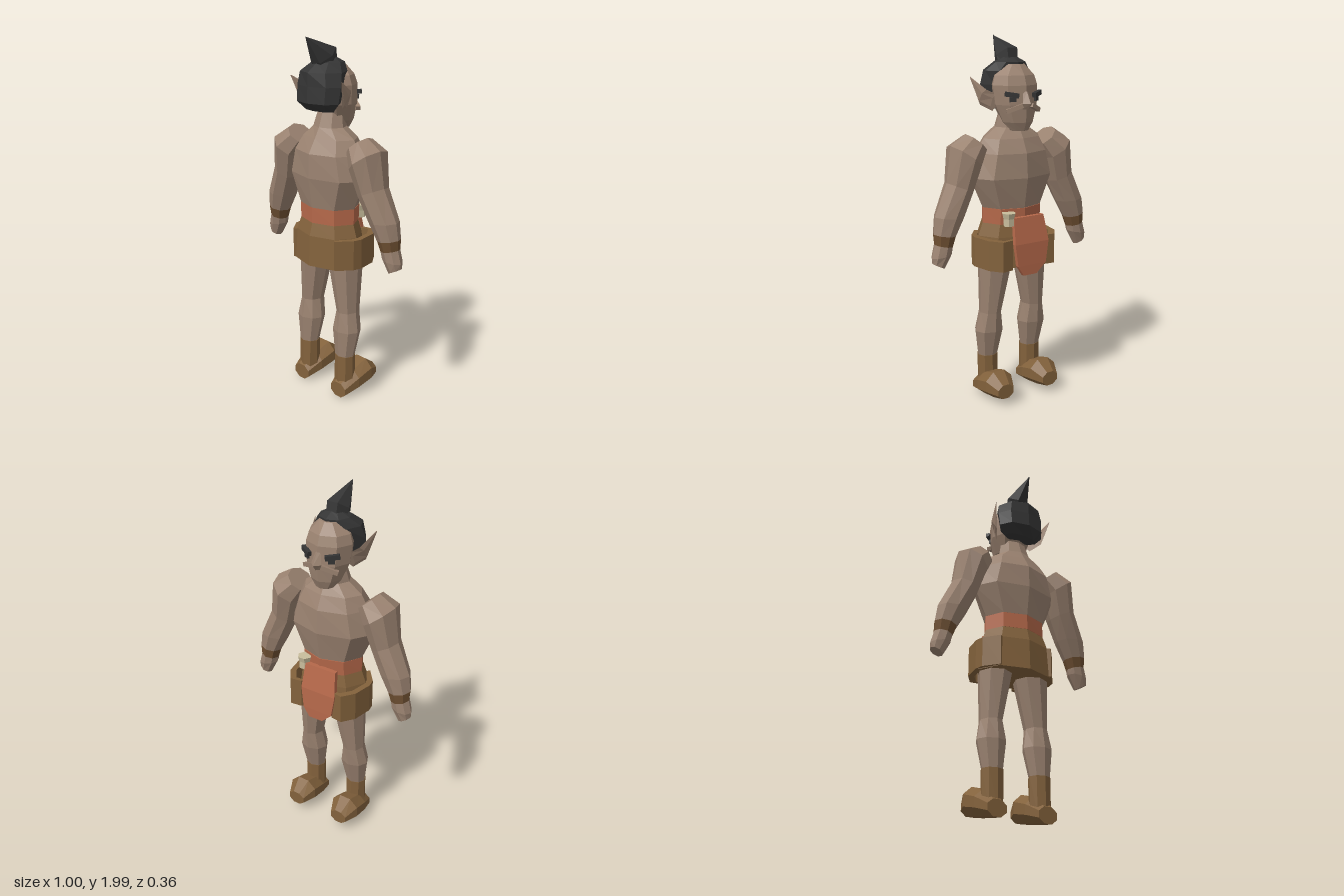
import * as THREE from 'three';

const V = (x, y, z) => new THREE.Vector3(x, y, z);
const mat = (name, color) => {
  const m = new THREE.MeshStandardMaterial({ color, flatShading: true });
  m.name = name;
  return m;
};

// Polygonal ring around centre c, spanned by half-axes u and v
function ring(c, u, v, n = 8, phase = 0) {
  const k = phase ? 1 / Math.cos(Math.PI / n) : 1;
  return Array.from({ length: n }, (_, i) => {
    const a = (i / n) * Math.PI * 2 + phase;
    return c.clone().addScaledVector(u, Math.cos(a) * k).addScaledVector(v, Math.sin(a) * k);
  });
}

// Horizontal ring: height, half width, back z, front z, centre x
const level = ([y, w, zb, zf, x = 0], n = 8) =>
  ring(V(x, y, (zb + zf) / 2), V(w, 0, 0), V(0, 0, (zb - zf) / 2), n);

// Capped skin through rings of equal size, oriented outward by its volume
function loft(rings) {
  const tris = [], n = rings[0].length;
  for (let r = 0; r + 1 < rings.length; r++) {
    for (let i = 0; i < n; i++) {
      const j = (i + 1) % n, p = rings[r], q = rings[r + 1];
      tris.push([p[i], p[j], q[j]], [p[i], q[j], q[i]]);
    }
  }
  const first = rings[0], last = rings[rings.length - 1];
  for (let i = 1; i + 1 < n; i++) {
    tris.push([first[0], first[i + 1], first[i]], [last[0], last[i], last[i + 1]]);
  }
  let volume = 0;
  for (const [a, b, c] of tris) volume += a.dot(b.clone().cross(c));
  const out = [];
  for (const [a, b, c] of tris) {
    for (const p of volume > 0 ? [a, b, c] : [a, c, b]) out.push(p.x, p.y, p.z);
  }
  const g = new THREE.BufferGeometry();
  g.setAttribute('position', new THREE.Float32BufferAttribute(out, 3));
  g.computeVertexNormals();
  return g;
}

export function createModel() {
  const root = new THREE.Group();
  root.name = 'tribalFigure';
  const skin = mat('skin', 0x9a8270);
  const leather = mat('leather', 0x83623c);
  const dark = mat('darkLeather', 0x6f5032);
  const cloth = mat('orangeCloth', 0xb5684a);
  const hair = mat('blackHair', 0x343434);
  const bone = mat('paleBone', 0xc8bd9c);

  const add = (name, geometry, material) => {
    const m = new THREE.Mesh(geometry, material);
    m.name = name;
    root.add(m);
    return m;
  };
  const body = (name, levels, material, n) => add(name, loft(levels.map(l => level(l, n))), material);
  const box = (name, size, pos, rot, material) => {
    const m = add(name, new THREE.BoxGeometry(...size), material);
    m.position.set(...pos);
    m.rotation.set(...rot);
    return m;
  };

  // Trunk
  body('torso', [
    [1.105, 0.18, 0.14, -0.13], [1.27, 0.255, 0.165, -0.16], [1.4, 0.215, 0.16, -0.15],
    [1.475, 0.175, 0.115, -0.115], [1.53, 0.095, 0.085, -0.08], [1.63, 0.073, 0.05, -0.07],
  ], skin);
  body('belt', [[1.02, 0.18, 0.14, -0.13], [1.105, 0.18, 0.14, -0.135]], cloth);
  body('skirt', [
    [0.78, 0.225, 0.165, -0.15], [0.95, 0.205, 0.158, -0.14], [1.02, 0.18, 0.138, -0.125],
  ], leather);

  // Head and hair
  body('head', [
    [1.515, 0.05, -0.03, -0.122], [1.56, 0.085, 0.03, -0.14], [1.65, 0.12, 0.08, -0.148],
    [1.75, 0.13, 0.09, -0.142], [1.8, 0.115, 0.08, -0.125], [1.855, 0.055, 0.0, -0.08],
  ], skin);
  body('hair', [
    [1.62, 0.1, 0.12, 0.035], [1.665, 0.142, 0.17, 0.0], [1.75, 0.147, 0.165, -0.02],
    [1.82, 0.13, 0.163, -0.065], [1.865, 0.085, 0.1, -0.07], [1.89, 0.04, 0.04, -0.02],
  ], hair);
  add('topknot', loft([
    ring(V(0, 1.83, 0.02), V(0.055, 0, 0), V(0, 0, 0.055), 6),
    ring(V(0, 1.9, 0.048), V(0.062, 0, 0), V(0, -0.043, 0.068), 6),
    ring(V(0, 1.998, 0.174), V(0.002, 0, 0), V(0, 0.001, 0.001), 6),
  ]), hair);
  add('nose', loft([
    ring(V(0, 1.72, -0.135), V(0.015, 0, 0), V(0, 0, 0.012), 4),
    ring(V(0, 1.66, -0.153), V(0.03, 0, 0), V(0, 0, 0.03), 4),
    ring(V(0, 1.63, -0.14), V(0.022, 0, 0), V(0, 0, 0.02), 4),
  ]), skin);

  for (const s of [1, -1]) {
    const side = s > 0 ? 'left' : 'right';

    // Face details
    box(side + 'Brow', [0.075, 0.024, 0.022], [s * 0.078, 1.705, -0.126], [0, -s * 0.55, s * 0.15], hair);
    box(side + 'Eye', [0.035, 0.022, 0.012], [s * 0.073, 1.68, -0.127], [0, -s * 0.55, 0], hair);
    box(side + 'Cheek', [0.09, 0.022, 0.025], [s * 0.062, 1.635, -0.128], [0, -s * 0.5, -s * 0.35], skin);

    // Pointed ear
    add(side + 'Ear', loft([
      ring(V(s * 0.115, 1.66, -0.015), V(0, 0.045, -0.02), V(s * 0.012, 0, 0.012), 6),
      ring(V(s * 0.152, 1.685, 0.035), V(0, 0.042, -0.032), V(s * 0.012, 0, 0.012), 6),
      ring(V(s * 0.185, 1.785, 0.108), V(0, 0.003, 0), V(s * 0.002, 0, 0.002), 6),
    ]), skin);

    // Arm rings: outer x, y, inner x, y, half depth, centre z
    const arm = [
      [0.275, 1.505, 0.165, 1.41, 0.08, 0.01], [0.365, 1.45, 0.205, 1.33, 0.12, 0.013],
      [0.393, 1.26, 0.25, 1.2, 0.09, 0.01], [0.472, 1.09, 0.305, 1.08, 0.078, 0],
      [0.483, 1.0, 0.36, 0.98, 0.062, -0.005], [0.48, 0.945, 0.38, 0.925, 0.052, -0.008],
      [0.5, 0.875, 0.385, 0.895, 0.05, -0.01], [0.497, 0.845, 0.43, 0.812, 0.036, -0.01],
    ].map(([ox, oy, ix, iy, d, z]) => ring(
      V(s * (ox + ix) / 2, (oy + iy) / 2, z), V(s * (ox - ix) / 2, (oy - iy) / 2, 0), V(0, 0, d)));
    add(side + 'Arm', loft(arm.slice(0, 5)), skin);
    add(side + 'Bracelet', loft(arm.slice(4, 6)), dark);
    add(side + 'Hand', loft(arm.slice(5)), skin);

    // Leg and boot
    body(side + 'Leg', [
      [0.25, 0.058, 0.08, -0.025, s * 0.143], [0.4, 0.083, 0.085, -0.06, s * 0.142],
      [0.51, 0.06, 0.07, -0.065, s * 0.14], [0.78, 0.093, 0.09, -0.1, s * 0.113],
      [0.85, 0.1, 0.1, -0.1, s * 0.11],
    ], skin);
    body(side + 'BootShaft', [
      [0.05, 0.058, 0.085, -0.03, s * 0.143], [0.25, 0.06, 0.082, -0.027, s * 0.143],
    ], leather);
    // Foot sections: z, bottom, top, half width
    add(side + 'Shoe', loft([
      [0.09, 0.004, 0.09, 0.055], [0.0, 0.018, 0.15, 0.078],
      [-0.1, 0.035, 0.185, 0.083], [-0.176, 0.05, 0.13, 0.05],
    ].map(([z, b, t, w]) => ring(
      V(s * 0.15, (b + t) / 2, z), V(w, 0, 0), V(0, (t - b) / 2, 0), 8, Math.PI / 8))), leather);

    // Hip panel wrapped around the skirt
    const plan = [[0.1, -0.17], [0.165, -0.178], [0.215, -0.11], [0.235, 0], [0.225, 0.05], [0.16, 0.13]];
    const band = [...plan, ...plan.map(([x, z]) => [x * 0.86, z * 0.86]).reverse()];
    const panel = new THREE.ExtrudeGeometry(
      new THREE.Shape(band.map(([x, z]) => new THREE.Vector2(s * x, -z))),
      { depth: 0.165, bevelEnabled: false });
    panel.rotateX(-Math.PI / 2).translate(0, 0.783, 0);
    add(side + 'HipPanel', panel, leather);
  }

  // Loincloth flap hanging over the belt
  const strip = ([y, x0, x1, z]) =>
    ring(V((x0 + x1) / 2, y, z), V((x1 - x0) / 2, 0, 0), V(0, 0, 0.012), 4, Math.PI / 4);
  add('loincloth', loft([
    [1.06, -0.11, 0.08, -0.138], [0.92, -0.125, 0.09, -0.168],
    [0.8, -0.105, 0.075, -0.172], [0.745, -0.045, 0.04, -0.172],
  ].map(strip)), cloth);

  // Bone charm on the belt
  body('boneCharm', [
    [1.02, 0.032, -0.1, -0.16, 0.1], [1.06, 0.032, -0.095, -0.16, 0.1], [1.09, 0.04, -0.088, -0.168, 0.1],
  ], bone, 6);

  return root;
}
